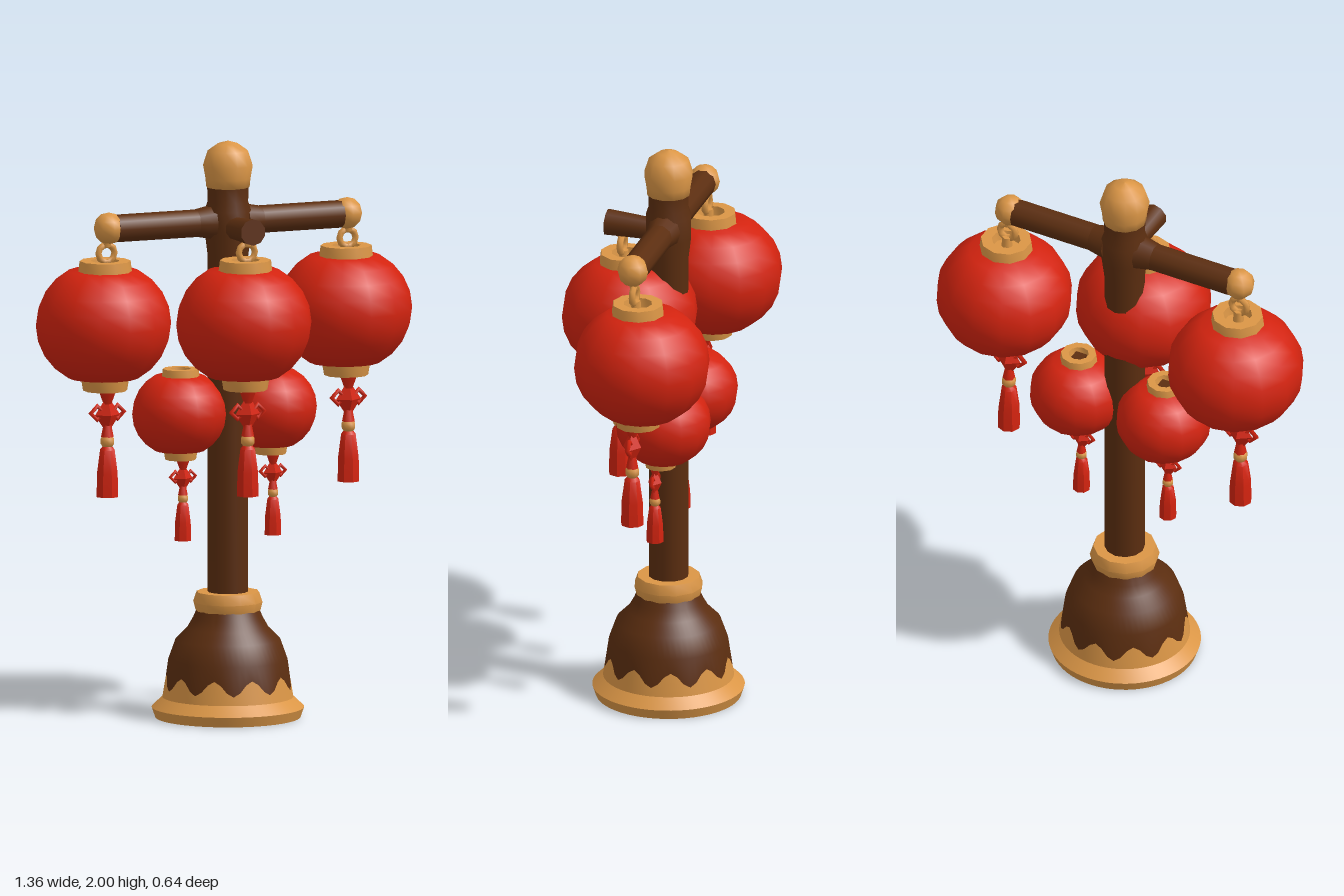
import * as THREE from 'three';
import { toCreasedNormals } from 'three/addons/utils/BufferGeometryUtils.js';

const material = (name, color, side = THREE.FrontSide) => {
  const m = new THREE.MeshStandardMaterial({ color, side });
  m.name = name;
  return m;
};

export function createModel() {
  const red = material('lantern red', 0xd3230f);
  const gold = material('warm gold', 0xdb9646, THREE.DoubleSide);
  const brown = material('dark wood', 0x5c2e10);
  const AXIS = -0.055; // z of the post

  const add = (parent, name, geometry, mat, x = 0, y = 0, z = 0) => {
    const mesh = new THREE.Mesh(geometry, mat);
    mesh.name = name;
    mesh.position.set(x, y, z);
    parent.add(mesh);
    return mesh;
  };
  const lathe = (points, sides) =>
    new THREE.LatheGeometry(points.map(([r, y]) => new THREE.Vector2(r, y)), sides);
  const creased = (points, sides, angle = 0.7) => toCreasedNormals(lathe(points, sides), angle);

  const model = new THREE.Group();
  model.name = 'lanternPost';

  // Bell-shaped foot: gold and wood meet along a scalloped line
  const wave = (a) => 0.125 + 0.026 * Math.cos(10 * a);
  const scallop = (geometry, seam) => {
    const p = geometry.attributes.position;
    for (let i = 0; i < p.count; i++) {
      if (Math.abs(p.getY(i) - seam) > 1e-4) continue;
      const a = Math.atan2(p.getX(i), p.getZ(i));
      const y = wave(a);
      const r = 0.225 - (y - 0.07) * 0.17;
      p.setXYZ(i, r * Math.sin(a), y, r * Math.cos(a));
    }
    geometry.computeVertexNormals();
    return toCreasedNormals(geometry, 0.6);
  };
  add(model, 'footTrim', scallop(lathe(
    [[0, 0], [0.25, 0], [0.262, 0.035], [0.225, 0.07], [0.215, 0.125]], 60), 0.125), gold, 0, 0, AXIS);
  add(model, 'footBell', scallop(lathe(
    [[0.215, 0.125], [0.205, 0.2], [0.18, 0.27], [0.14, 0.31], [0.12, 0.345], [0.105, 0.38]], 60), 0.125),
  brown, 0, 0, AXIS);
  add(model, 'footCollar', creased(
    [[0.1, 0.37], [0.112, 0.37], [0.12, 0.4], [0.108, 0.435], [0.06, 0.435]], 12), gold, 0, 0, AXIS);

  // Post and finial
  add(model, 'post', creased(
    [[0.07, 0.4], [0.07, 1.6], [0.08, 1.68], [0.08, 1.76], [0.07, 1.79], [0.072, 1.845], [0, 1.845]], 12),
  brown, 0, 0, AXIS);
  add(model, 'finial', lathe(
    [[0.055, 1.835], [0.075, 1.84], [0.078, 1.87], [0.086, 1.915], [0.07, 1.965], [0.035, 1.99], [0, 2]], 12),
  gold, 0, 0, AXIS);

  // Cross arm with end knobs, and the short front arm
  const arm = add(model, 'crossArm', new THREE.CylinderGeometry(0.048, 0.048, 0.84, 10), brown, 0, 1.72, AXIS);
  arm.rotation.z = Math.PI / 2;
  for (const s of [-1, 1]) {
    add(model, 'armKnob', new THREE.SphereGeometry(0.055, 8, 6), gold, s * 0.445, 1.722, AXIS);
    const flare = add(model, 'armFlare', new THREE.CylinderGeometry(0.048, 0.06, 0.06, 10), brown, s * 0.09, 1.72, AXIS);
    flare.rotation.z = -s * Math.PI / 2;
  }
  const frontArm = add(model, 'frontArm', new THREE.CylinderGeometry(0.046, 0.036, 0.22, 10), brown, 0, 1.706, 0.055);
  frontArm.rotation.x = Math.PI / 2 - 0.05;

  // Tassel hanging down from its own origin
  const makeTassel = () => {
    const g = new THREE.Group();
    g.name = 'tassel';
    add(g, 'knotTop', new THREE.CylinderGeometry(0.032, 0.014, 0.05, 6), red, 0, -0.025, 0);
    add(g, 'knot', new THREE.OctahedronGeometry(1), red, 0, -0.088, 0).scale.set(0.046, 0.068, 0.032);
    for (const s of [-1, 1])
      add(g, 'knotLoop', new THREE.TorusGeometry(0.024, 0.009, 5, 4), red, s * 0.038, -0.08, 0);
    add(g, 'knotTail', new THREE.CylinderGeometry(0.012, 0.022, 0.05, 6), red, 0, -0.14, 0);
    add(g, 'bead', new THREE.SphereGeometry(0.026, 8, 5), gold, 0, -0.18, 0);
    add(g, 'fringe', creased(
      [[0, -0.375], [0.04, -0.372], [0.038, -0.29], [0.027, -0.21], [0.015, -0.195], [0, -0.195]], 8), red);
    return g;
  };

  // Lantern centred on its caps; the paper body bulges slightly to the back
  const bodyProfile = [];
  for (let i = 0; i <= 8; i++) {
    const a = (i / 8 - 0.5) * 2.06;
    bodyProfile.push([0.236 * Math.cos(a), 0.216 * Math.sin(a)]);
  }
  bodyProfile.unshift([0, -0.186]);
  bodyProfile.push([0, 0.186]);

  const makeLantern = (name, x, y, z, size, tasselSize) => {
    const g = new THREE.Group();
    g.name = name;
    g.position.set(x, y, z);
    const body = new THREE.Group();
    body.name = 'lanternBody';
    body.scale.setScalar(size);
    g.add(body);
    add(body, 'paperShade', creased(bodyProfile, 14, 0.9), red, 0, 0, -0.014);
    add(body, 'topCap', creased(
      [[0.095, 0.165], [0.088, 0.222], [0.05, 0.222], [0.045, 0.19], [0, 0.19]], 10), gold);
    add(body, 'bottomCap', creased(
      [[0, -0.228], [0.076, -0.228], [0.086, -0.17]], 10), gold);
    const tassel = makeTassel();
    tassel.position.set(0, -0.222 * size, 0.02);
    tassel.scale.setScalar(tasselSize);
    g.add(tassel);
    model.add(g);
    return body;
  };

  // Three large lanterns, each on a ring hook
  for (const [name, x, z] of [['rightLantern', -0.45, -0.075], ['leftLantern', 0.45, -0.075], ['frontLantern', 0, 0.098]]) {
    const body = makeLantern(name, x, 1.385, z, 1, 1);
    add(body, 'hookRing', new THREE.TorusGeometry(0.03, 0.012, 6, 10), gold, 0, 0.25, 0.012);
    add(body, 'hookStem', new THREE.CylinderGeometry(0.016, 0.02, 0.05, 6), gold, 0, 0.205, 0.006);
    add(body, 'hookTop', new THREE.CylinderGeometry(0.022, 0.014, 0.04, 6), gold, 0, 0.292, 0.014);
  }

  // Two small lanterns beside the post, with wooden pegs in their caps
  for (const s of [-1, 1]) {
    const body = makeLantern(s < 0 ? 'smallRightLantern' : 'smallLeftLantern', s * 0.168, 1.06, -0.075, 0.7, 0.76);
    add(body, 'peg', new THREE.BoxGeometry(0.06, 0.02, 0.06), brown, 0, 0.195, 0);
  }
  return model;
}
